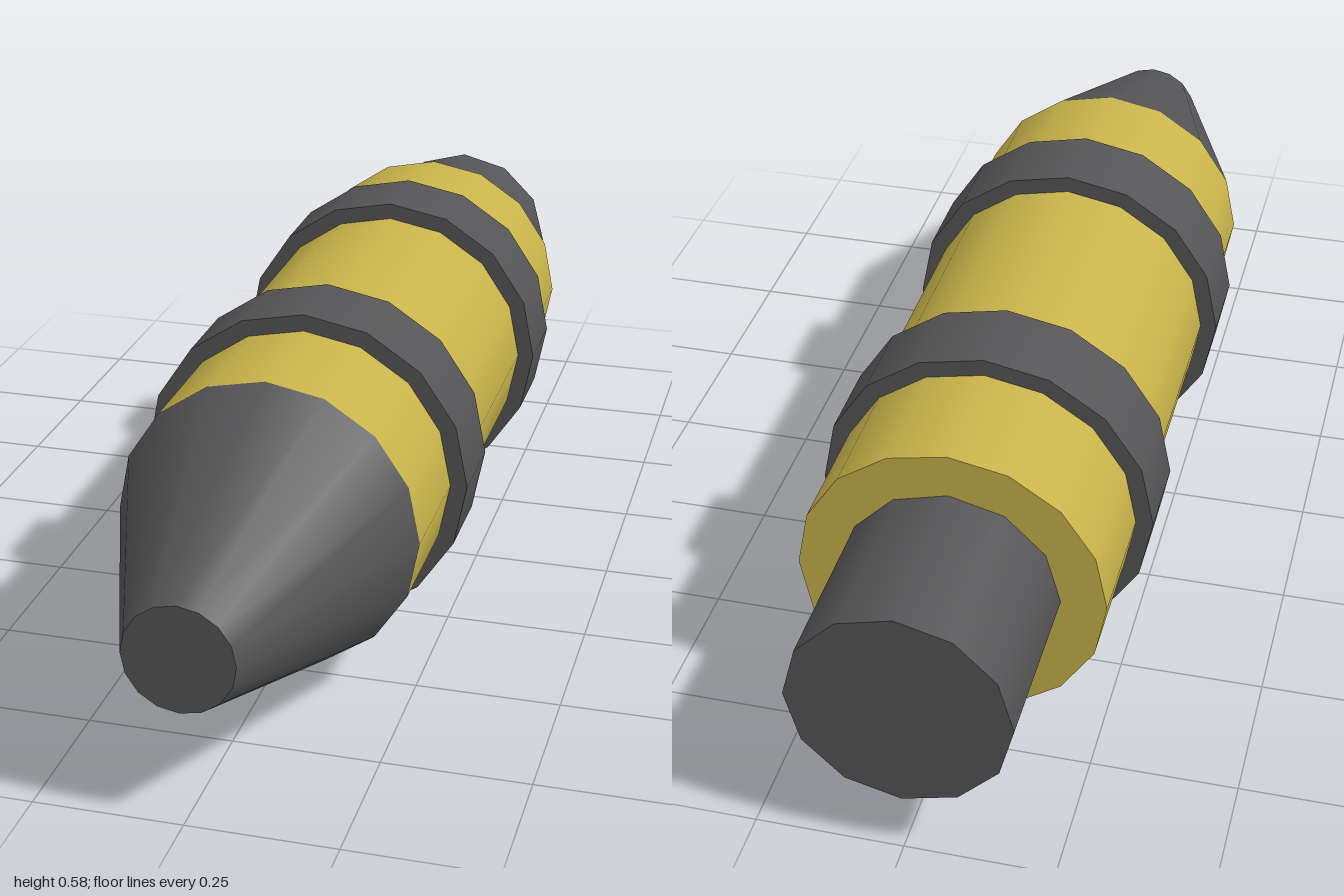
import * as THREE from 'three';

export function createModel() {
  const group = new THREE.Group();
  const yellow = new THREE.MeshStandardMaterial({ color: 0xc8b44a });
  yellow.name = 'yellow';
  const darkGrey = new THREE.MeshStandardMaterial({ color: 0x555557 });
  darkGrey.name = 'darkGrey';

  const axisY = 0.292;

  // A capped round section lying along z, from zBack to zFront
  function section(name, rFront, rBack, zBack, zFront, sides, material) {
    const geometry = new THREE.CylinderGeometry(rFront, rBack, zFront - zBack, sides);
    geometry.rotateX(Math.PI / 2);
    const mesh = new THREE.Mesh(geometry, material);
    mesh.name = name;
    mesh.position.set(0, axisY, (zFront + zBack) / 2);
    group.add(mesh);
  }

  // Main barrel, tapered nose and narrow tail
  section('body', 0.262, 0.262, -0.692, 0.538, 16, yellow);
  section('nose', 0.092, 0.262, 0.538, 1, 16, darkGrey);
  section('tail', 0.185, 0.185, -1, -0.692, 12, darkGrey);

  // Raised bands around the barrel
  [['frontBand', 0.231], ['rearBand', -0.385]].forEach(([name, z]) =>
    section(name, 0.292, 0.292, z - 0.077, z + 0.077, 16, darkGrey));

  return group;
}
